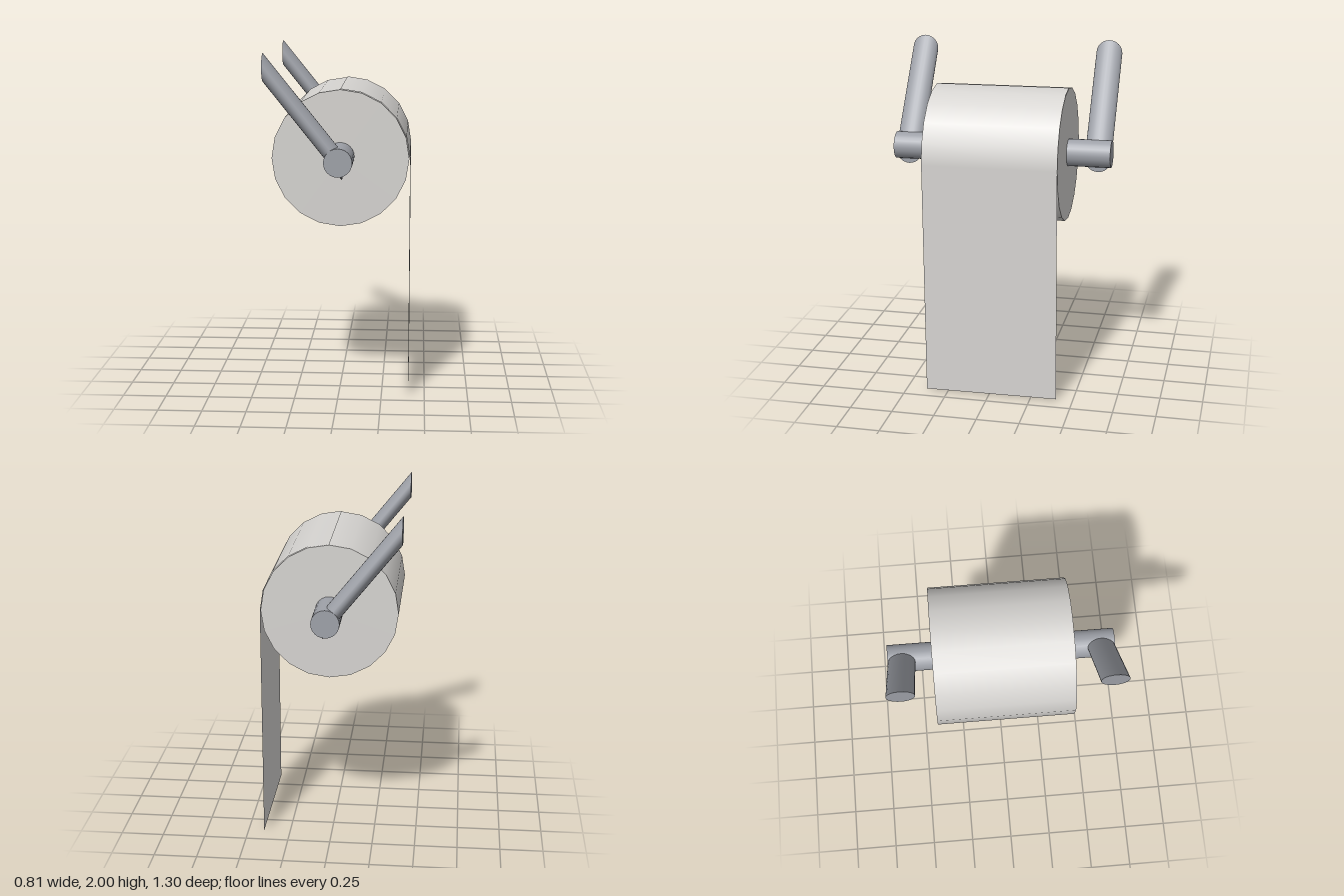
import * as THREE from 'three';

export function createModel() {
  const paper = new THREE.MeshStandardMaterial({ color: 0xd6d4d1 });
  paper.name = 'paper';
  paper.side = THREE.DoubleSide;
  const metal = new THREE.MeshStandardMaterial({ color: 0x9ea1a8 });
  metal.name = 'metal';

  const model = new THREE.Group();
  model.name = 'paperRollHolder';
  // everything hangs from the rod axis, with a very slight tilt
  const holder = new THREE.Group();
  holder.name = 'holder';
  holder.position.set(0.01, 1.396, 0);
  holder.rotation.x = 0.0075;
  model.add(holder);

  const add = (name, geometry, material, x = 0, y = 0, z = 0) => {
    const mesh = new THREE.Mesh(geometry, material);
    mesh.name = name;
    mesh.position.set(x, y, z);
    holder.add(mesh);
  };

  const R = 0.391, W = 0.785, sheetR = 0.395;

  // paper roll
  add('roll', new THREE.CylinderGeometry(R, R, W, 20).rotateX(Math.PI / 2), paper, 0, -0.005);

  // loose sheet: wraps over the top quarter, then hangs straight down
  add('sheetWrap',
    new THREE.CylinderGeometry(sheetR, sheetR, W, 5, 1, true, Math.PI / 2, Math.PI / 2).rotateX(Math.PI / 2),
    paper, 0, -0.005);
  const drop = 1.388;
  add('hangingSheet', new THREE.PlaneGeometry(W, drop).rotateY(Math.PI / 2), paper,
    sheetR, -0.005 - drop / 2);

  // rod through the roll
  add('rod', new THREE.CylinderGeometry(0.08, 0.08, 1.295, 24).rotateX(Math.PI / 2), metal, 0, 0.007);

  // slanted arms, sheared so that their wall ends are cut vertically
  const x0 = -0.415, x1 = 0.02, slope = -1.25;
  const shear = new THREE.Matrix4().set(
    1, 0, 0, 0,
    slope, 1, 0, 0,
    0, 0, 1, 0,
    0, 0, 0, 1);
  for (const side of [1, -1]) {
    const arm = new THREE.CylinderGeometry(0.078, 0.078, x1 - x0, 24).rotateZ(Math.PI / 2);
    arm.translate((x0 + x1) / 2, 0, 0).applyMatrix4(shear);
    add(side > 0 ? 'frontArm' : 'backArm', arm, metal, 0, 0.004, side * 0.569);
  }
  return model;
}
